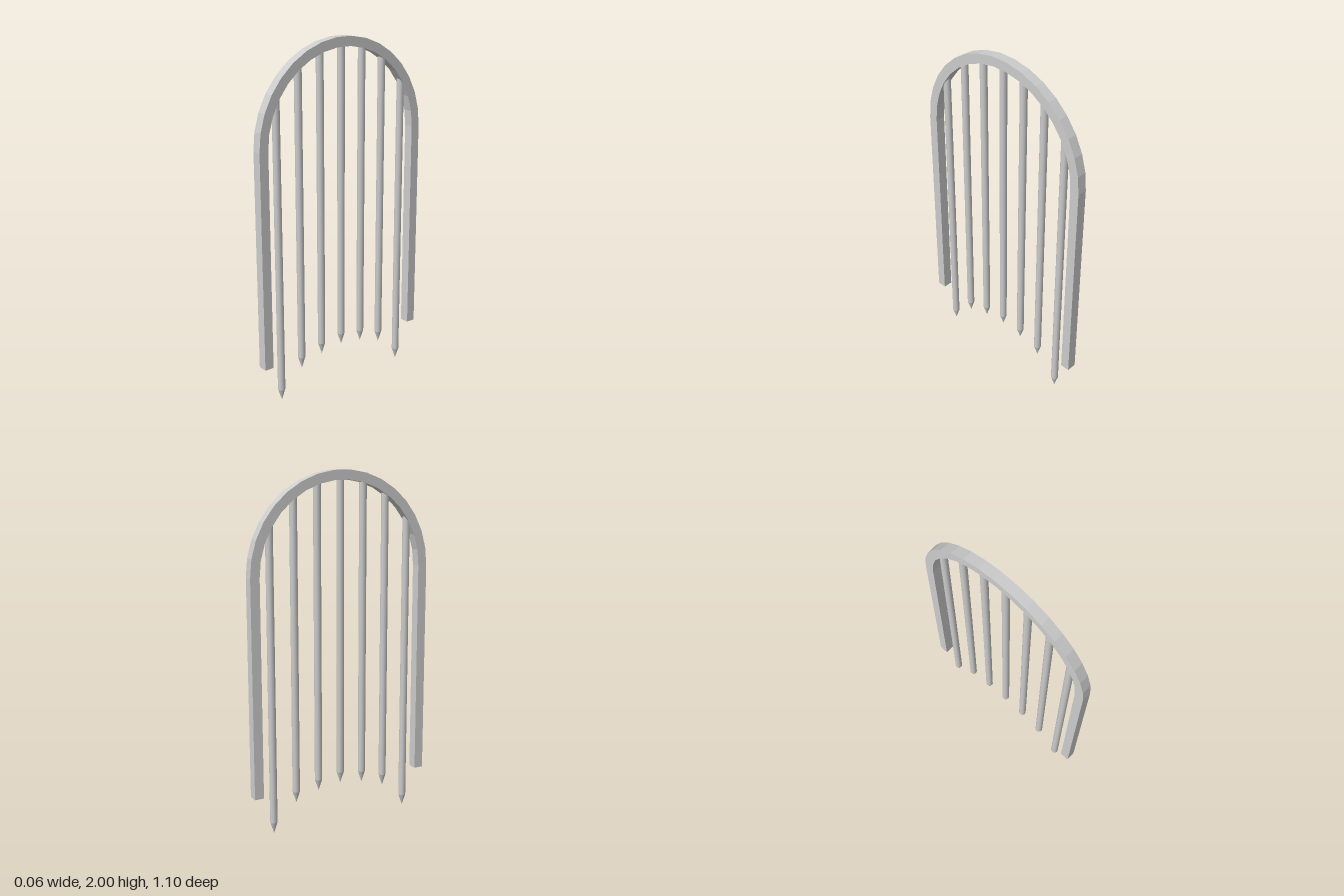
import * as THREE from 'three';

const grey = new THREE.MeshStandardMaterial({ color: 0xcccccc });
const flatGrey = new THREE.MeshStandardMaterial({ color: 0xcccccc, flatShading: true });

const SPRING = 1.452; // height where the legs turn into the arch
const OUTER = 0.55, INNER = 0.496, FOOT = 0.23, DEPTH = 0.056, SEGMENTS = 17;

// Points of a half circle, from +u over the top to -u
function halfCircle(radius) {
  return Array.from({ length: SEGMENTS + 1 }, (_, i) => {
    const a = (i / SEGMENTS) * Math.PI;
    return new THREE.Vector2(radius * Math.cos(a), SPRING + radius * Math.sin(a));
  });
}

// Square-section frame: two straight legs joined by a faceted arch
function archFrame() {
  const shape = new THREE.Shape([
    new THREE.Vector2(OUTER, FOOT),
    ...halfCircle(OUTER),
    new THREE.Vector2(-OUTER, FOOT),
    new THREE.Vector2(-INNER, FOOT),
    ...halfCircle(INNER).reverse(),
    new THREE.Vector2(INNER, FOOT),
  ]);
  const geometry = new THREE.ExtrudeGeometry(shape, { depth: DEPTH, bevelEnabled: false });
  geometry.translate(0, 0, -DEPTH / 2).rotateY(Math.PI / 2);
  const mesh = new THREE.Mesh(geometry, flatGrey);
  mesh.name = 'archFrame';
  return mesh;
}

// Round bar with a pointed lower end
function bar(z, tipY) {
  const radius = 0.021, tip = 0.066, sides = 12;
  const top = SPRING + Math.sqrt(0.52 ** 2 - z * z) - 0.005;
  const length = top - tipY - tip;
  const group = new THREE.Group();
  group.name = 'bar';
  const shaft = new THREE.Mesh(new THREE.CylinderGeometry(radius, radius, length, sides), grey);
  shaft.name = 'barShaft';
  shaft.position.y = tipY + tip + length / 2;
  const point = new THREE.Mesh(new THREE.CylinderGeometry(radius, 0, tip, sides, 1, true), grey);
  point.name = 'barPoint';
  point.position.y = tipY + tip / 2;
  group.add(shaft, point);
  group.position.z = z;
  return group;
}

export function createModel() {
  const model = new THREE.Group();
  model.name = 'barredArch';
  model.add(archFrame());
  // Tip heights from the centre bar outwards, mirrored front to back
  [0.222, 0.202, 0.155, 0].forEach((tipY, i) => {
    for (const side of i ? [-1, 1] : [1]) model.add(bar(side * i * 0.142, tipY));
  });
  return model;
}
